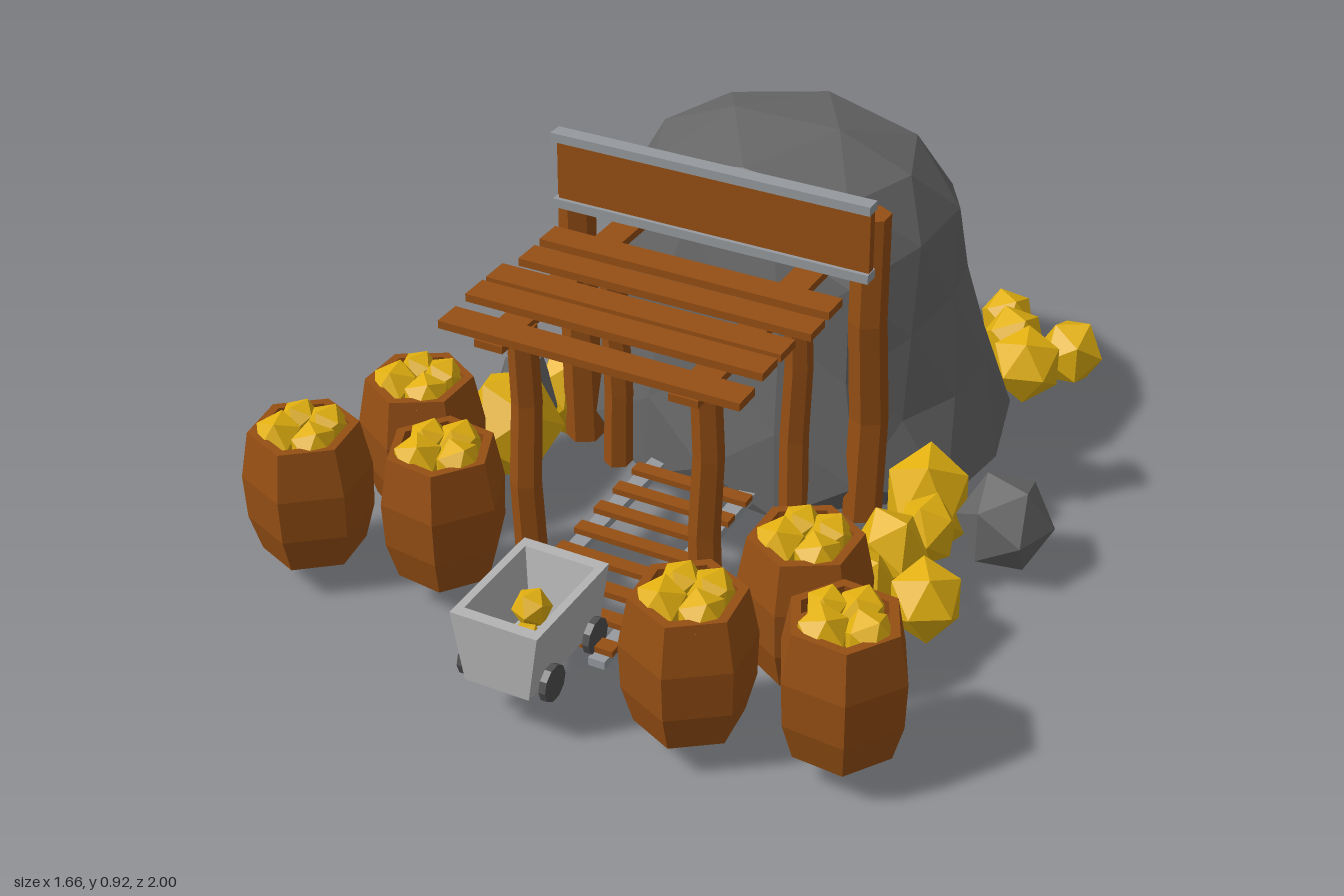
import * as THREE from 'three';

const paint = (color, side = THREE.FrontSide) =>
  new THREE.MeshStandardMaterial({ color, side, flatShading: true });

// Repeatable value in -0.5..0.5 that depends only on position
function noise(x, y, z) {
  const s = Math.sin(x * 127.1 + y * 311.7 + z * 74.7) * 43758.5453;
  return s - Math.floor(s) - 0.5;
}

// Move every vertex of a geometry by a rule
function reshape(geometry, rule) {
  const p = geometry.attributes.position;
  const v = new THREE.Vector3();
  for (let i = 0; i < p.count; i++) {
    rule(v.fromBufferAttribute(p, i));
    p.setXYZ(i, v.x, v.y, v.z);
  }
  geometry.computeVertexNormals();
  return geometry;
}

// Ground outline of the hill: radius every 30 degrees, from +x towards +z
const OUTLINE = [0.56, 0.595, 0.55, 0.51, 0.52, 0.6, 0.55, 0.54, 0.55, 0.55, 0.505, 0.545];
function outlineRadius(angle) {
  const a = ((angle / (Math.PI * 2) + 1) % 1) * 12;
  const i = Math.floor(a);
  return THREE.MathUtils.lerp(OUTLINE[i % 12], OUTLINE[(i + 1) % 12], a - i);
}

export function createModel() {
  const model = new THREE.Group();
  const wood = paint(0x964f14, THREE.DoubleSide);
  const stone = paint(0x666666);
  const gold = paint(0xe2b010);
  const metal = paint(0x969a9f);
  const cartMetal = paint(0xb4b4b4, THREE.DoubleSide);
  const dark = paint(0x505050);

  function add(name, geometry, material, x = 0, y = 0, z = 0, parent = model) {
    const mesh = new THREE.Mesh(geometry, material);
    mesh.name = name;
    mesh.position.set(x, y, z);
    parent.add(mesh);
    return mesh;
  }
  // Box given by its limits on each axis
  const box = (name, mat, x0, x1, y0, y1, z0, z1, parent) =>
    add(name, new THREE.BoxGeometry(x1 - x0, y1 - y0, z1 - z0), mat,
      (x0 + x1) / 2, (y0 + y1) / 2, (z0 + z1) / 2, parent);

  // Boulder hill: faceted dome with a flat, irregular base that flares at the ground
  const hill = reshape(new THREE.IcosahedronGeometry(1, 2), (v) => {
    const n = noise(Math.round(v.x * 50), Math.round(v.y * 50), Math.round(v.z * 50));
    const t = Math.max(0, (v.y + 0.35) / 1.35);
    const s = (1.06 - 1.05 * t + 1.25 * t * t) * (1 + 0.06 * n);
    const radius = THREE.MathUtils.lerp(outlineRadius(Math.atan2(v.z, v.x)), 0.55, Math.min(1, t * 2));
    v.x = 0.01 + v.x * radius * s;
    v.z = Math.min(-0.4 + 0.06 * t + v.z * radius * s, 0.12 - 0.2 * t);
    v.y = 0.06 + 0.83 * t;
  });
  add('boulderHill', hill, stone);

  // Rough-hewn posts
  function post(name, x, z, y0, y1, r) {
    const h = y1 - y0;
    const g = reshape(new THREE.CylinderGeometry(r * 0.92, r, h, 6, 3), (v) => {
      if (Math.abs(v.y) < h * 0.4) {
        v.x += noise(v.y, x, z) * r * 0.5;
        v.z += noise(z, v.y, x) * r * 0.5;
      }
    });
    add(name, g, wood, x, (y0 + y1) / 2, z);
  }
  for (const s of [-1, 1]) {
    post('entrancePost', s * 0.375, -0.017, 0.07, 0.865, 0.047);
    post('frontCanopyPost', s * 0.225, 0.485, 0.08, 0.685, 0.037);
    post('rearCanopyPost', s * 0.235, 0.065, 0.08, 0.685, 0.035);
    box('canopyBeam', wood, s * 0.235 - 0.035, s * 0.235 + 0.035, 0.68, 0.698, -0.06, 0.605);
  }

  // Canopy planks: centre z and sideways shift
  for (const [z, dx] of [[0.15, 0.005], [0.25, 0.01], [0.355, -0.01], [0.44, -0.01], [0.565, 0]])
    box('canopyPlank', wood, dx - 0.363, dx + 0.363, 0.698, 0.717, z - 0.035, z + 0.035);

  // Board over the entrance with metal trims
  box('entranceBoard', wood, -0.385, 0.4, 0.75, 0.9, 0.028, 0.05);
  for (const y of [0.732, 0.9])
    box('boardTrim', metal, -0.395, 0.402, y, y + 0.022, 0.022, 0.06);

  // Track
  for (const s of [-1, 1])
    box('rail', metal, s * 0.125 - 0.02, s * 0.125 + 0.02, 0.095, 0.115, -0.02, 0.8);
  for (let i = 0; i < 9; i++)
    box('sleeper', wood, -0.152, 0.152, 0.115, 0.13, 0.022 + i * 0.09, 0.058 + i * 0.09);

  // Nugget: an icosahedron of radius r and half height ry
  function nugget(name, mat, x, y, z, r, parent, ry = r * 0.9) {
    const m = add(name, new THREE.IcosahedronGeometry(r, 0), mat, x, y, z, parent);
    m.rotation.y = noise(x, y, z) * 6;
    m.scale.y = ry / (r * 0.85);
    return m;
  }

  // Mine cart: hollow tub with sloping sides and upright ends, on wheels
  const cart = new THREE.Group();
  cart.name = 'mineCart';
  cart.position.z = 0.85;
  model.add(cart);
  const tubProfile = [[0, 0.13], [0.078, 0.13], [0.105, 0.297], [0.086, 0.297], [0.062, 0.16], [0, 0.16]]
    .map(([r, y]) => new THREE.Vector2(r * Math.SQRT2, y));
  const tub = reshape(new THREE.LatheGeometry(tubProfile, 4, Math.PI / 4), (v) => {
    v.z *= v.y < 0.14 ? 1.9 : 1.42;
  });
  add('cartTub', tub, cartMetal, 0, 0, 0, cart);
  for (const z of [-0.09, 0.09]) {
    for (const x of [-0.1, 0.1]) {
      const wheel = add('cartWheel', new THREE.CylinderGeometry(0.042, 0.042, 0.016, 10), dark, x, 0.145, z, cart);
      wheel.rotation.z = Math.PI / 2;
    }
    box('cartAxle', dark, -0.1, 0.1, 0.138, 0.152, z - 0.007, z + 0.007, cart);
  }
  for (const [x, z, r] of [[-0.03, -0.05, 0.045], [0.02, 0.06, 0.045], [-0.03, 0.03, 0.024], [0.04, 0, 0.024]])
    nugget('cartNugget', gold, x, 0.16 + r * 0.9, z, r, cart);

  // Six-sided barrels filled with gold
  const barrelProfile = [[0, 0.08], [0.118, 0.08], [0.143, 0.17], [0.147, 0.28], [0.125, 0.395],
    [0.102, 0.395], [0.104, 0.36], [0, 0.36]].map(([r, y]) => new THREE.Vector2(r, y));
  const barrelGeometry = new THREE.LatheGeometry(barrelProfile, 6);
  const barrels = [[-0.575, 0.385, 0], [-0.69, 0.68, 0.15], [-0.375, 0.605, 0.4],
    [0.49, 0.54, 0], [0.365, 0.83, 0.1], [0.68, 0.755, 0.45]];
  for (const [x, z, turn] of barrels) {
    const barrel = new THREE.Group();
    barrel.name = 'goldBarrel';
    barrel.position.set(x, 0, z);
    barrel.rotation.y = turn;
    model.add(barrel);
    add('barrelBody', barrelGeometry, wood, 0, 0, 0, barrel);
    for (const [nx, nz, r] of [[-0.045, 0.03, 0.06], [0.045, 0.04, 0.058], [0.035, -0.045, 0.054], [-0.035, -0.05, 0.05]])
      nugget('barrelNugget', gold, nx, 0.375, nz, r, barrel);
  }

  // Gold heaps around the hill: x, y, z, radius, half height
  const heaps = [
    [0.375, 0.13, -0.93, 0.074, 0.065], [0.44, 0.14, -0.81, 0.085, 0.08],
    [0.585, 0.13, -0.84, 0.085, 0.08], [0.505, 0.13, -0.73, 0.095, 0.085],
    [-0.59, 0.13, -0.78, 0.087, 0.08], [-0.45, 0.13, -0.8, 0.1, 0.09],
    [-0.48, 0.14, -0.68, 0.073, 0.08], [-0.52, 0.12, -0.57, 0.062, 0.06],
    [0.525, 0.13, -0.05, 0.108, 0.13], [0.58, 0.15, 0.08, 0.072, 0.08],
    [0.54, 0.15, 0.2, 0.088, 0.1], [0.67, 0.13, 0.3, 0.09, 0.085], [0.525, 0.13, 0.33, 0.09, 0.09],
    [-0.45, 0.15, -0.03, 0.066, 0.1], [-0.475, 0.17, 0.16, 0.13, 0.13],
  ];
  for (const [x, y, z, r, ry] of heaps) nugget('goldNugget', gold, x, y, z, r, model, ry);

  // Loose stones beside the entrance
  nugget('looseStone', stone, 0.72, 0.14, -0.045, 0.115, model, 0.105);
  nugget('looseStone', stone, -0.5, 0.17, 0.05, 0.085, model, 0.125);

  return model;
}
